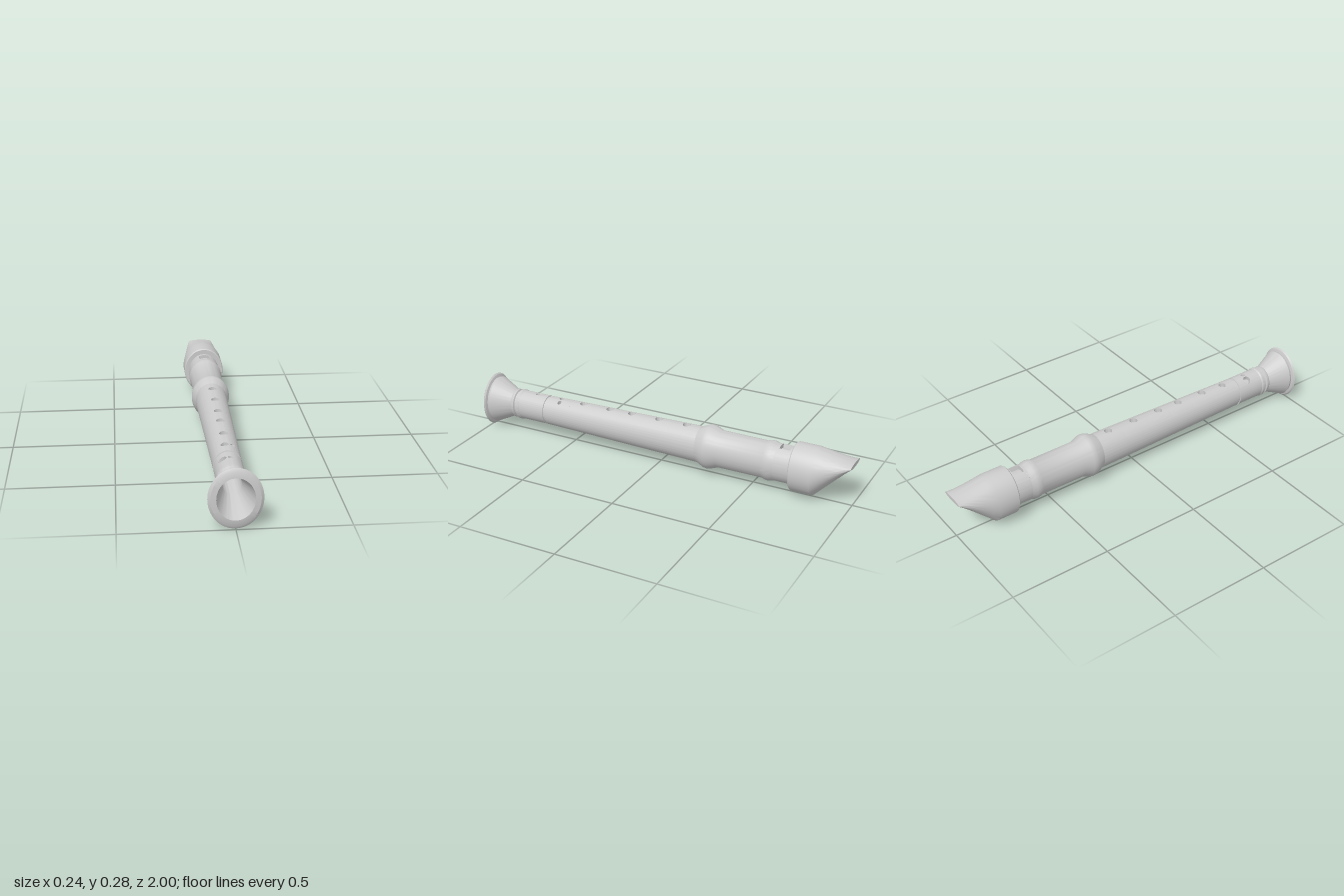
import * as THREE from 'three';
import { toCreasedNormals } from 'three/addons/utils/BufferGeometryUtils.js';

const AXIS_Y = 0.139;   // height of the instrument's axis
const FLAT = 0.865;     // the section is an ellipse: width / height
const STRIP = 0.9;      // half angle of the top strip that carries holes

export function createModel() {
  const group = new THREE.Group();
  const material = new THREE.MeshStandardMaterial({ color: 0xcccccc });

  function add(name, geometry) {
    geometry.scale(FLAT, 1, 1);
    geometry.translate(0, AXIS_Y, 0);
    const mesh = new THREE.Mesh(toCreasedNormals(geometry, 0.5), material);
    mesh.name = name;
    group.add(mesh);
  }

  // Turned part along z from [z, radius] pairs; optionally open along the top
  function turned(name, profile, open = 0) {
    const points = profile.map(([z, r]) => new THREE.Vector2(r, -z));
    const g = new THREE.LatheGeometry(points, 64, open, Math.PI * 2 - 2 * open);
    g.deleteAttribute('normal');
    g.deleteAttribute('uv');
    g.rotateX(-Math.PI / 2);
    add(name, g);
  }

  // Closed rings of equal length joined into a skin
  function skin(rings) {
    const n = rings[0].length;
    const index = [];
    for (let k = 0; k < rings.length - 1; k++) {
      for (let i = 0; i < n; i++) {
        const a = k * n + i, b = k * n + (i + 1) % n;
        index.push(a, b + n, a + n, a, b, b + n);
      }
    }
    const g = new THREE.BufferGeometry();
    g.setAttribute('position', new THREE.Float32BufferAttribute(rings.flat(2), 3));
    g.setIndex(index);
    return g;
  }

  // Piece of the top strip with one recessed hole, on a wall of radius(z)
  function holePatch(name, radius, cell, hole) {
    const n = 64, steps = 6;
    const { z0, z1, p0 = -STRIP, p1 = STRIP } = cell;
    const { x, z, rx, rz = rx, square = false, depth = 0.02 } = hole;
    const ring = (t, size, sink) => Array.from({ length: n }, (_, i) => {
      const a = (i / n) * Math.PI * 2;
      const c = Math.cos(a), s = Math.sin(a);
      const m = Math.max(Math.abs(c), Math.abs(s));
      const q = square ? m : 1;
      const hz = z + rz * size * s / q;
      const hp = Math.asin((x + rx * size * c / q) / FLAT / radius(hz));
      const ep = (p0 + p1) / 2 + (p1 - p0) / 2 * c / m;
      const ez = (z0 + z1) / 2 + (z1 - z0) / 2 * s / m;
      const phi = THREE.MathUtils.lerp(hp, ep, t);
      const pz = THREE.MathUtils.lerp(hz, ez, t);
      const r = radius(pz) - sink;
      return [r * Math.sin(phi), r * Math.cos(phi), pz];
    });
    const rings = [ring(0, 0.02, depth), ring(0, 1, depth)];
    for (let k = 0; k <= steps; k++) rings.push(ring(k / steps, 1, 0));
    add(name, skin(rings));
  }

  // Flared bell with its conical mouth and bore
  turned('bell', [
    [0.3, 0], [0.3, 0.049], [0.85, 0.049], [1, 0.096], [0.997, 0.124],
    [0.988, 0.138], [0.981, 0.132], [0.976, 0.118], [0.965, 0.122],
    [0.955, 0.117], [0.86, 0.071], [0.85, 0.076], [0.842, 0.076],
    [0.838, 0.068], [0.832, 0.068], [0.826, 0.079], [0.812, 0.08], [0.805, 0.076],
  ]);

  // Foot joint with its pair of holes
  const footRadius = () => 0.076;
  turned('footJoint', [[0.805, 0.076], [0.66, 0.076]], STRIP);
  const footSplit = -0.15;
  holePatch('footLargeHole', footRadius, { z0: 0.66, z1: 0.805, p1: footSplit },
    { x: -0.032, z: 0.723, rx: 0.018 });
  holePatch('footSmallHole', footRadius, { z0: 0.66, z1: 0.805, p0: footSplit },
    { x: 0.002, z: 0.723, rx: 0.01 });

  // Groove between foot and body
  turned('jointGroove', [[0.66, 0.076], [0.659, 0.071], [0.649, 0.071], [0.648, 0.076]]);

  // Tapered body with finger holes along the top
  const bodyStart = 0.648, bodyEnd = -0.215;
  const bodyRadius = (z) => THREE.MathUtils.mapLinear(z, bodyStart, bodyEnd, 0.076, 0.092);
  turned('body', [[bodyStart, 0.076], [bodyEnd, 0.092]], STRIP);
  const holes = [-0.14, 0.012, 0.165, 0.29, 0.445];
  let start = bodyEnd;
  holes.forEach((z, i) => {
    const end = i < holes.length - 1 ? (z + holes[i + 1]) / 2 : 0.51;
    holePatch('fingerHole', bodyRadius, { z0: start, z1: end }, { x: 0, z, rx: 0.02 });
    start = end;
  });
  holePatch('lowLargeHole', bodyRadius, { z0: start, z1: bodyStart, p1: 0.24 },
    { x: -0.007, z: 0.575, rx: 0.018 });
  holePatch('lowSmallHole', bodyRadius, { z0: start, z1: bodyStart, p0: 0.24 },
    { x: 0.029, z: 0.575, rx: 0.01 });

  // Swollen socket, head tube and its bead
  turned('headJoint', [
    [bodyEnd, 0.092], [-0.225, 0.096], [-0.255, 0.11], [-0.27, 0.112], [-0.285, 0.11],
    [-0.325, 0.094], [-0.56, 0.093], [-0.57, 0.097], [-0.585, 0.1], [-0.6, 0.099],
    [-0.615, 0.094], [-0.625, 0.093],
  ]);

  // Window cut into the head
  const windowEnd = -0.71;
  turned('windowSection', [[-0.625, 0.093], [windowEnd, 0.093]], STRIP);
  holePatch('window', () => 0.093, { z0: windowEnd, z1: -0.625 },
    { x: 0, z: -0.666, rx: 0.028, rz: 0.029, square: true, depth: 0.02 });

  // Front shoulder of the mouthpiece
  turned('mouthpieceShoulder', [
    [-0.69, 0.093], [-0.708, 0.093], [-0.708, 0.117], [-0.713, 0.122],
  ]);

  // Mouthpiece: straight collar, then a beak lofted to a thin tip near the top
  const section = (z, w, y, h) => Array.from({ length: 64 }, (_, i) => {
    const a = (i / 64) * Math.PI * 2;
    return [w * Math.sin(a), y + h * Math.cos(a), z];
  });
  const beak = [section(-0.713, 0.122, 0, 0.122)];
  for (let k = 0; k <= 6; k++) {
    const t = k / 6, mix = THREE.MathUtils.lerp;
    beak.push(section(mix(-0.815, -1, t), mix(0.122, 0.075, t), mix(0, 0.078, t), mix(0.122, 0.011, t)));
  }
  beak.push(section(-1, 0.001, 0.078, 0.0002));
  add('mouthpiece', skin(beak));

  return group;
}
